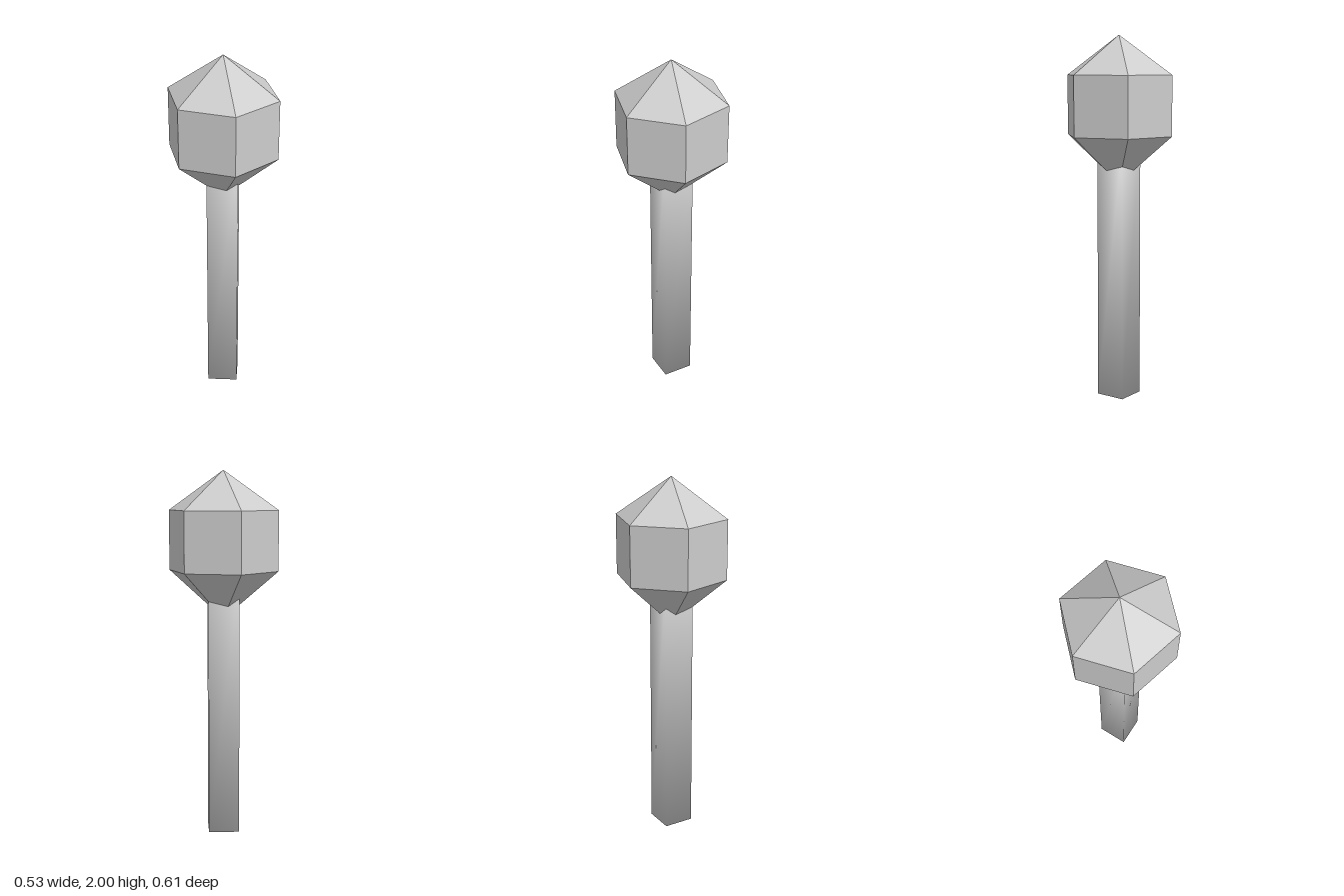
import * as THREE from 'three';
import { mergeGeometries } from 'three/addons/utils/BufferGeometryUtils.js';

const POST_TOP = 1.46, POST_SIDE = 0.168;
const RADIUS = 0.304, SIDES = 6;
const LOW_TIP = 1.196, BELT_LOW = 1.46, BELT_HIGH = 1.787, TOP_TIP = 2;

// One six-sided band between two heights, open at both ends
function band(rTop, rBottom, y0, y1) {
  return new THREE.CylinderGeometry(rTop, rBottom, y1 - y0, SIDES, 1, true)
    .translate(0, (y0 + y1) / 2, 0);
}

// Square post shaded smoothly around its corners
function postGeometry() {
  const g = new THREE.BoxGeometry(POST_SIDE, POST_TOP, POST_SIDE);
  const p = g.attributes.position, n = g.attributes.normal;
  const k = 1 / Math.sqrt(3);
  for (let i = 0; i < p.count; i++) {
    n.setXYZ(i, Math.sign(p.getX(i)) * k, Math.sign(p.getY(i)) * k, Math.sign(p.getZ(i)) * k);
  }
  return g.rotateY(Math.PI / 4).translate(0, POST_TOP / 2, 0);
}

// Faceted head: lower point, straight belt and upper point
function headGeometry() {
  const g = mergeGeometries([
    band(RADIUS, 0, LOW_TIP, BELT_LOW),
    band(RADIUS, RADIUS, BELT_LOW, BELT_HIGH),
    band(0, RADIUS, BELT_HIGH, TOP_TIP),
  ]).toNonIndexed();
  g.computeVertexNormals();
  return g;
}

export function createModel() {
  const model = new THREE.Group();
  model.name = 'facetedPost';
  const grey = new THREE.MeshStandardMaterial({ color: 0xcccccc });
  grey.name = 'light grey';

  const post = new THREE.Mesh(postGeometry(), grey);
  post.name = 'post';
  const head = new THREE.Mesh(headGeometry(), grey);
  head.name = 'head';
  model.add(post, head);
  return model;
}
